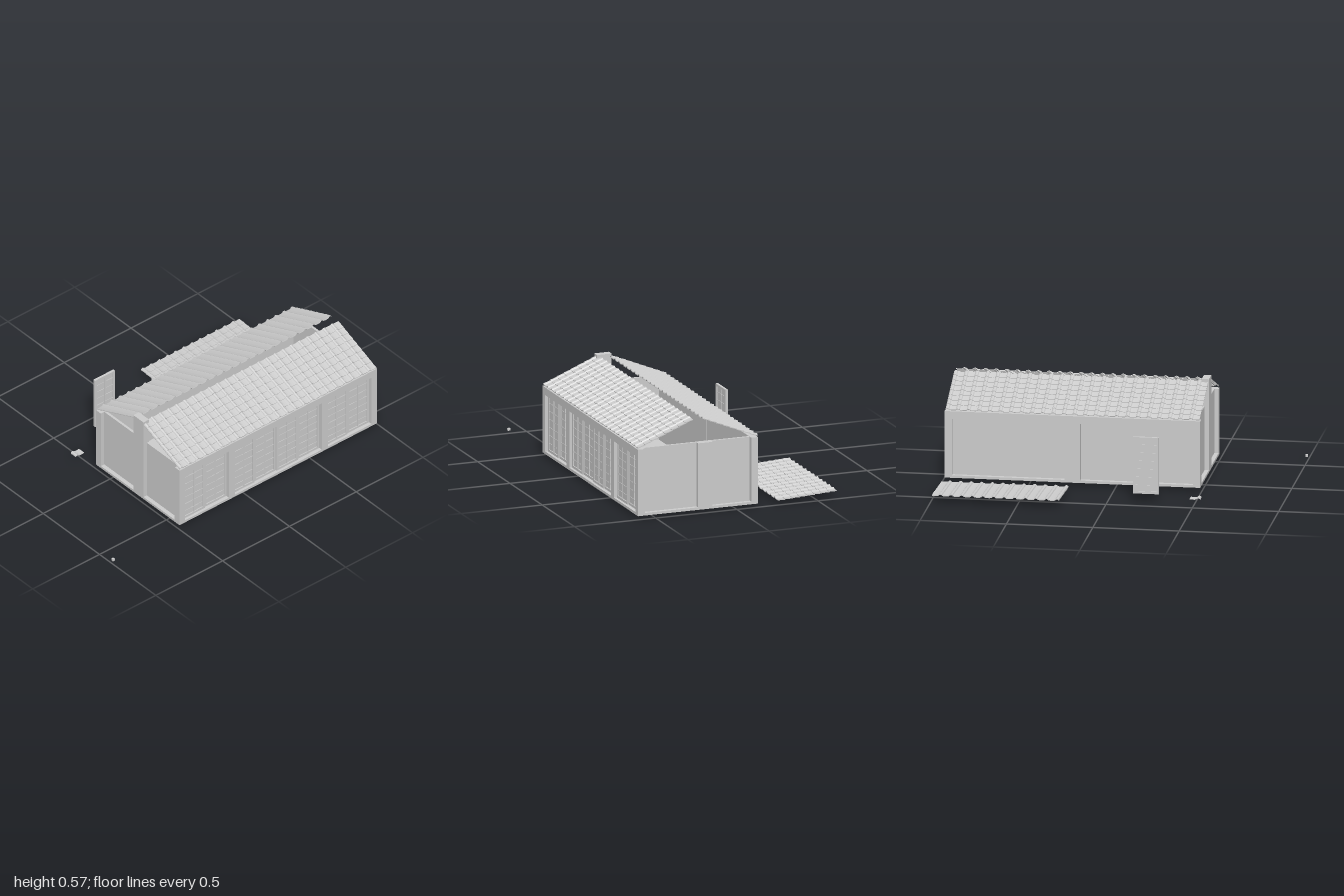
import * as THREE from 'three';

const mat = new THREE.MeshStandardMaterial({ color: 0xcccccc, flatShading: true });

function mesh(parent, name, geometry) {
  const m = new THREE.Mesh(geometry, mat);
  m.name = name;
  parent.add(m);
  return m;
}

// Box given by its lower and upper limits on each axis
function box(parent, name, x0, x1, y0, y1, z0, z1) {
  const m = mesh(parent, name, new THREE.BoxGeometry(x1 - x0, y1 - y0, z1 - z0));
  m.position.set((x0 + x1) / 2, (y0 + y1) / 2, (z0 + z1) / 2);
  return m;
}

// One run of tiles side by side: a raised roll, then a shallow trough
const PITCH = 0.0613;
function tileRun(count, depth) {
  const wave = [[0, 0.006], [0.004, 0.0115], [0.011, 0.014], [0.018, 0.0115],
    [0.023, 0.0065], [0.034, 0.005], [0.05, 0.005]];
  const top = [];
  for (let i = 0; i < count; i++) {
    for (const [x, y] of wave) top.push([x + i * PITCH, y]);
  }
  top.push([count * PITCH, 0.006]);
  const t = 0.0045;
  const bottom = top.map(([x, y]) => [x, y - t]).reverse();
  const shape = new THREE.Shape([...top, ...bottom].map(p => new THREE.Vector2(...p)));
  const g = new THREE.ExtrudeGeometry(shape, { depth, bevelEnabled: false });
  return g.translate(-count * PITCH / 2, 0, 0);
}

// Roof panel: overlapping rows running down the slope along +z
const ROWS = 8, STEP = 0.0452;
const runGeometry = tileRun(12, STEP + 0.003);
function roofPanel(parent, name, x, y, z, tilt) {
  const panel = new THREE.Group();
  panel.name = name;
  for (let r = 0; r < ROWS; r++) {
    const row = mesh(panel, 'tileRow', runGeometry);
    row.position.z = r * STEP;
    row.rotation.x = -0.07;
  }
  panel.position.set(x, y, z);
  panel.rotation.x = tilt;
  parent.add(panel);
  return panel;
}

// Lattice door leaf, standing on its own origin and centred on x and z
function doorLeaf(parent, name, w, h) {
  const leaf = new THREE.Group();
  leaf.name = name;
  const s = 0.014, d = 0.0075, hw = w / 2;
  box(leaf, 'doorPanel', -hw, hw, 0, h, -0.002, 0.002);
  for (const side of [-1, 1]) {
    const c = side * (hw - s / 2);
    box(leaf, 'doorStile', c - s / 2, c + s / 2, 0, h, -d, d);
  }
  box(leaf, 'doorBottomRail', -hw + s, hw - s, 0, s, -d, d);
  box(leaf, 'doorTopRail', -hw + s, hw - s, h - s, h, -d, d);
  box(leaf, 'doorMullion', -0.004, 0.004, s, h - s, -d * 0.8, d * 0.8);
  for (let i = 1; i < 7; i++) {
    const y = i * h / 7;
    box(leaf, 'doorBar', -hw + s, hw - s, y - 0.003, y + 0.003, -d * 0.6, d * 0.6);
  }
  parent.add(leaf);
  return leaf;
}

export function createModel() {
  const model = new THREE.Group();
  model.name = 'tiledHouse';
  const house = new THREE.Group();
  house.name = 'house';
  model.add(house);

  const X0 = -0.49, X1 = 0.99, Z0 = -0.135, Z1 = 0.605;
  const Y0 = 0.02, SILL = 0.035, HEAD = 0.37, TOP = 0.415, P = 0.042;

  // Floor and long beams
  box(house, 'floor', X0, X1, Y0, SILL, Z0, Z1);
  for (const [name, z] of [['frontBeam', Z1 - P], ['backBeam', Z0]]) {
    box(house, name, X0 + P, X1 - P, HEAD, TOP, z, z + P);
  }

  // Corner posts
  for (const x of [X0, X1 - P]) {
    for (const z of [Z0, Z1 - P]) box(house, 'cornerPost', x, x + P, SILL, TOP, z, z + P);
  }

  // Intermediate posts, with the tall ridge post on one end
  box(house, 'frontPost', -0.12, -0.075, SILL, HEAD, Z1 - P, Z1);
  box(house, 'frontPost', 0.575, 0.62, SILL, HEAD, Z1 - P, Z1);
  box(house, 'backPost', 0.205, 0.295, SILL, HEAD, Z0, Z0 + P);
  box(house, 'endPost', X1 - P, X1, SILL, TOP, 0.145, 0.235);
  box(house, 'ridgePost', X0, X0 + P, SILL, 0.575, 0.195, 0.285);

  // Recessed walls of the back and the two ends
  box(house, 'backWall', X0 + P, X1 - P, SILL, HEAD, Z0 + 0.025, Z0 + 0.04);
  box(house, 'leftEndWall', X1 - 0.04, X1 - 0.025, SILL, TOP, Z0 + P, Z1 - P);
  box(house, 'rightEndWall', X0 + 0.025, X0 + 0.04, SILL, TOP, Z0 + P, Z1 - P);

  // Door leaves filling the front bays
  for (const [a, b, n] of [[-0.448, -0.12, 2], [-0.075, 0.575, 4], [0.62, 0.948, 2]]) {
    const w = (b - a) / n;
    for (let i = 0; i < n; i++) {
      const leaf = doorLeaf(house, 'frontDoor', w - 0.001, HEAD - SILL);
      leaf.position.set(a + (i + 0.5) * w, SILL, Z1 - 0.024 - (i % 2) * 0.006);
    }
  }

  // Two roof slopes of two panels each, open along the ridge
  const slope = 0.39, half = 6 * PITCH;
  for (const turn of [0, Math.PI]) {
    const side = new THREE.Group();
    side.name = turn ? 'backRoof' : 'frontRoof';
    for (const s of [-1, 1]) roofPanel(side, 'roofPanel', s * half, 0.555, 0.028, slope);
    side.position.set(0.25, 0, 0.235);
    side.rotation.y = turn;
    house.add(side);
  }

  // Loose pieces lying beside the house
  roofPanel(model, 'looseRoofPanel', 0.622, 0.043, -0.62, 0.06);
  doorLeaf(model, 'looseDoor', 0.15, 0.335).position.set(-0.215, 0.045, -0.39);
  mesh(model, 'looseTile', tileRun(1, 0.045)).position.set(-0.489, 0.001, -0.325);
  box(model, 'looseBlock', -1, -0.986, 0.021, 0.035, 0.605, 0.62);

  return model;
}
